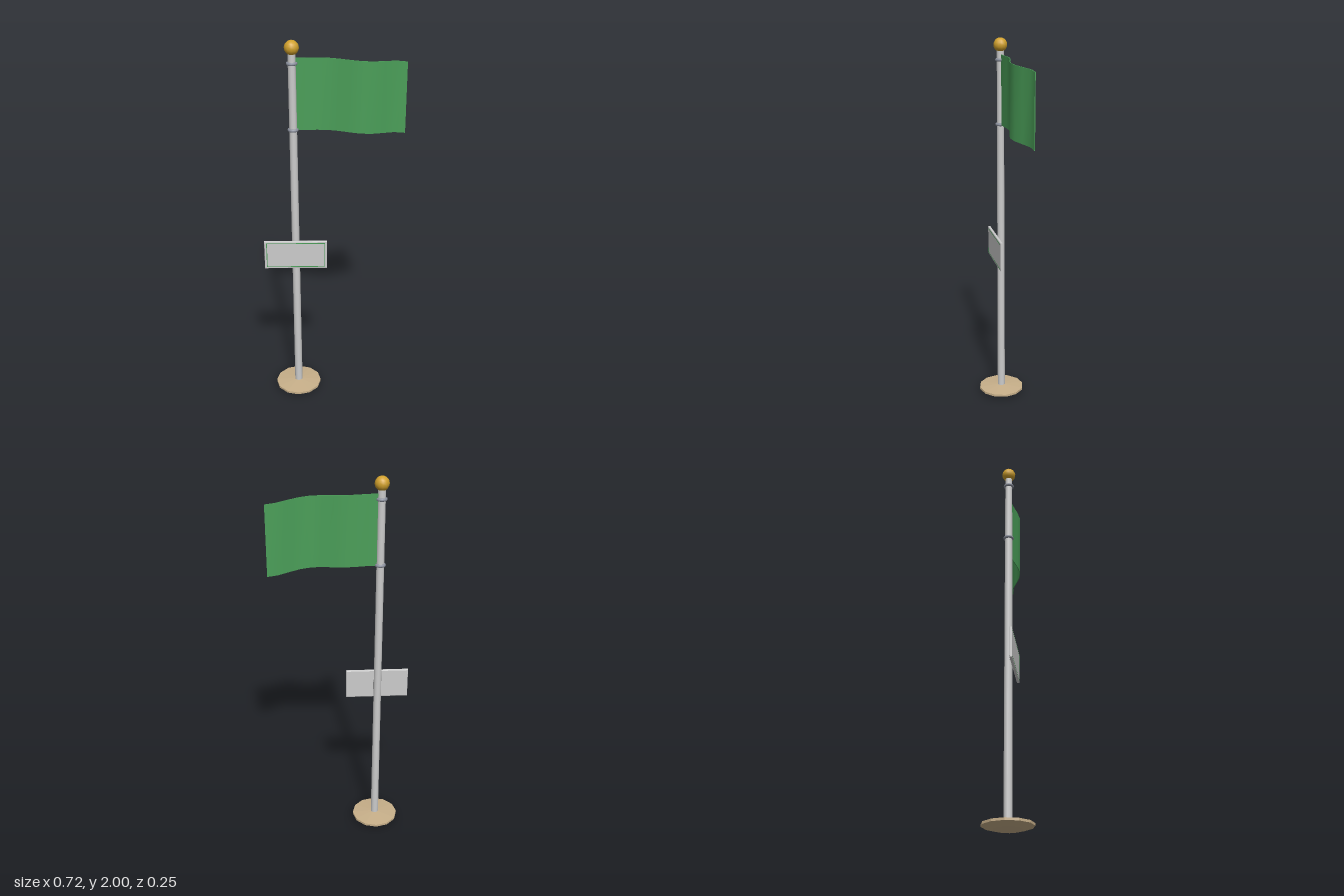
import * as THREE from 'three';

const POLE_X = -0.197;

function material(name, color, options = {}) {
  const m = new THREE.MeshStandardMaterial({ color, ...options });
  m.name = name;
  return m;
}

export function createModel() {
  const group = new THREE.Group();
  const steel = material('light grey steel', 0xcccccc);
  const ringGrey = material('blue grey', 0x8a8f9c);
  const gold = material('gold', 0xd0a02c);
  const green = material('flag green', 0x4a9e58);
  const tan = material('tan stone', 0xc8b08a, { flatShading: true });

  function add(name, geometry, mat, x = 0, y = 0, z = 0) {
    const mesh = new THREE.Mesh(geometry, mat);
    mesh.name = name;
    mesh.position.set(x, y, z);
    group.add(mesh);
    return mesh;
  }

  // Twelve-sided base disc, slightly domed above and below
  const profile = [[0, 0], [0.07, 0.006], [0.125, 0.022], [0.125, 0.034], [0, 0.045]]
    .map(([r, y]) => new THREE.Vector2(r, y));
  add('base', new THREE.LatheGeometry(profile, 12), tan, POLE_X);

  // Pole and ball
  add('pole', new THREE.CylinderGeometry(0.019, 0.021, 1.92, 12), steel, POLE_X, 0.985);
  add('finial', new THREE.SphereGeometry(0.036, 12, 10), gold, POLE_X, 1.964);

  // Rings that hold the flag
  for (const y of [1.888, 1.555]) {
    const ring = add('flagRing', new THREE.TorusGeometry(0.02, 0.008, 8, 16), ringGrey, POLE_X, y);
    ring.rotation.x = Math.PI / 2;
  }

  // Waving flag: a thin box bent along its length, sagging at the free end
  const wave = [-0.002, -0.003, -0.009, -0.01, 0, 0.015, 0.023, 0.014, -0.01, -0.036, -0.041];
  const left = -0.19, length = 0.55;
  const cloth = new THREE.BoxGeometry(length, 0.362, 0.004, 10, 1, 1);
  const p = cloth.attributes.position;
  for (let i = 0; i < p.count; i++) {
    const t = p.getX(i) / length + 0.5;
    p.setXYZ(i, left + t * length, p.getY(i) + 1.734 - 0.032 * t * t,
      p.getZ(i) + wave[Math.round(t * 10)]);
  }
  cloth.computeVertexNormals();
  add('flag', cloth, green);

  // Sign plate with bevelled edges
  const signY = 0.87, w = 0.322, h = 0.152;
  const plate = new THREE.Shape();
  plate.moveTo(-w / 2, -h / 2);
  plate.lineTo(w / 2, -h / 2);
  plate.lineTo(w / 2, h / 2);
  plate.lineTo(-w / 2, h / 2);
  plate.closePath();
  add('signPlate', new THREE.ExtrudeGeometry(plate, {
    depth: 0.006, bevelThickness: 0.004, bevelSize: 0.004, bevelSegments: 2,
  }), steel, POLE_X, signY, 0.028);

  // Thin green border on the sign face
  for (const s of [-1, 1]) {
    add('signBorder', new THREE.BoxGeometry(0.308, 0.004, 0.001), green, POLE_X, signY + s * 0.069, 0.038);
    add('signBorder', new THREE.BoxGeometry(0.004, 0.138, 0.001), green, POLE_X + s * 0.152, signY, 0.038);
  }

  // Bracket between pole and sign
  add('signBracket', new THREE.BoxGeometry(0.04, 0.06, 0.018), steel, POLE_X, signY, 0.017);

  return group;
}
